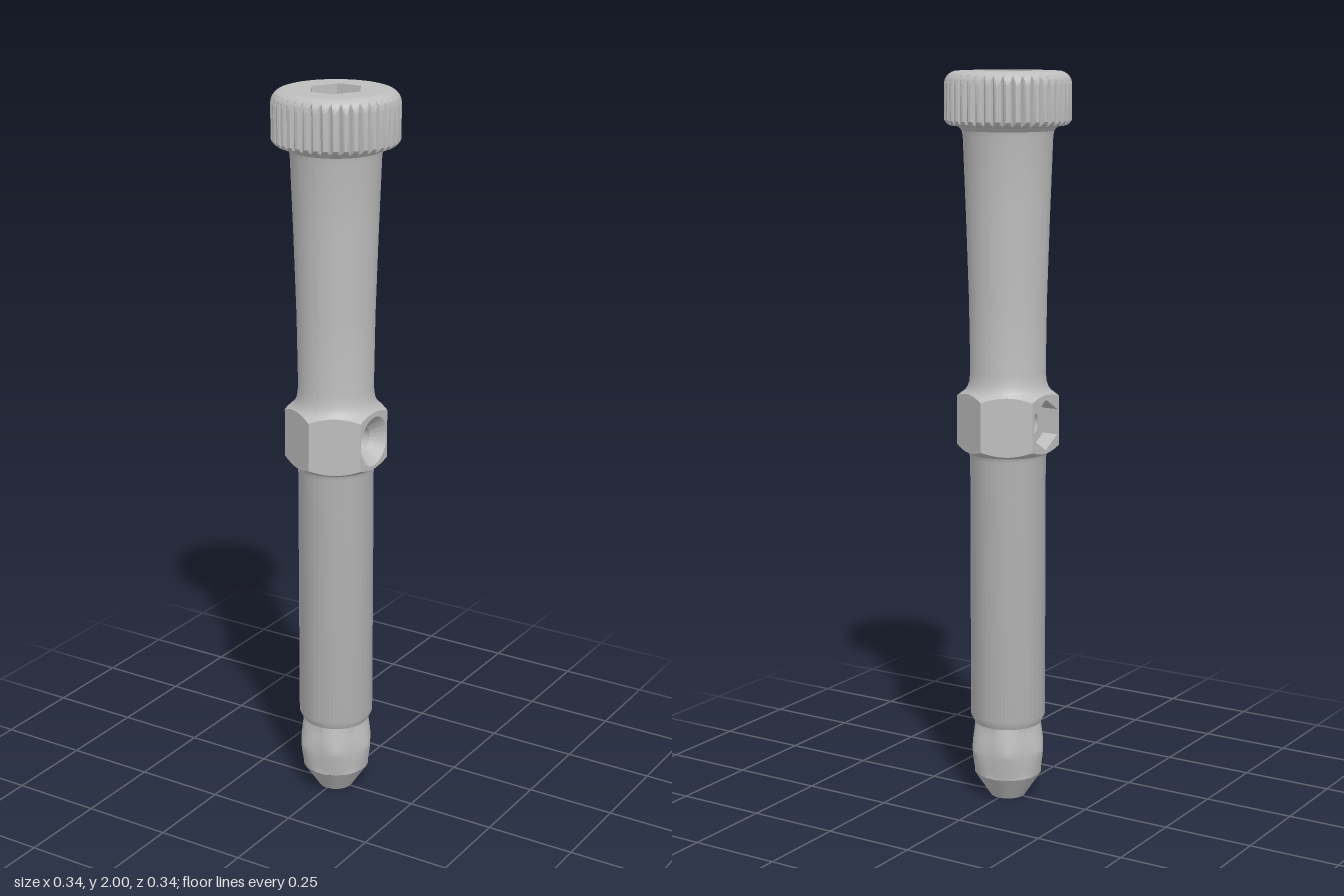
import * as THREE from 'three';
import { toCreasedNormals } from 'three/addons/utils/BufferGeometryUtils.js';

const RAD = Math.PI / 180;
const HOLE_Y = 1.063, BORE = 0.045, DRILL = 0.034, FLAT = 0.12;

// Closed loops of points joined into a skin; a loop running counter-clockwise
// followed by one above it faces outwards.
function loft(rings, crease = 0.45) {
  const n = rings[0].length, pos = [], index = [];
  rings.forEach(r => r.forEach(p => pos.push(...p)));
  for (let i = 0; i < rings.length - 1; i++) {
    for (let j = 0; j < n; j++) {
      const k = (j + 1) % n;
      const a = i * n + j, b = i * n + k, c = a + n, d = b + n;
      index.push(a, b, d, a, d, c);
    }
  }
  const g = new THREE.BufferGeometry();
  g.setAttribute('position', new THREE.Float32BufferAttribute(pos, 3));
  g.setIndex(index);
  return toCreasedNormals(g, crease);
}

// n samples of a full turn
const turn = (n, fn) => Array.from({ length: n }, (_, i) => fn(i / n * Math.PI * 2));

// Horizontal loop; radius and height may depend on the angle
const val = (v, t) => (typeof v === 'function' ? v(t) : v);
const ring = (r, y, n = 120) => turn(n, t =>
  [val(r, t) * Math.cos(t), val(y, t), -val(r, t) * Math.sin(t)]);
const rings = (profile, n) => profile.map(([r, y]) => ring(r, y, n));

// Hexagon radius by angle, with a flat at angle zero
function hexR(t, apothem) {
  const s = 60 * RAD;
  const phi = ((t + s / 2) % s + s) % s - s / 2;
  return apothem / Math.cos(phi);
}

// Loop facing along z, used for the cross drilling
const port = (r, z) => turn(48, t =>
  [val(r, t) * Math.cos(t), HOLE_Y + val(r, t) * Math.sin(t), val(z, t)]);

export function createModel() {
  const group = new THREE.Group();
  const steel = new THREE.MeshStandardMaterial({ color: 0xbebebe });
  steel.name = 'steel grey';
  const add = (name, geometry) => {
    const m = new THREE.Mesh(geometry, steel);
    m.name = name;
    group.add(m);
    return m;
  };

  // Chamfered upper and lower limits of the hexagonal collar
  const collarTop = r => 1.145 - (r - FLAT) * 0.7;
  const collarBottom = r => 0.985 + (r - FLAT) * 0.7;
  const collarR = t => hexR(t, FLAT);

  // Conical tip and the six pointed bumps round it
  add('tip', loft(rings([[BORE, 0], [0.048, 0], [0.093, 0.068]])));
  const bumps = [];
  for (let i = 0; i <= 24; i++) {
    const y = 0.068 + i / 24 * 0.147;
    bumps.push(ring(t => {
      const s = 60 * RAD;
      const phi = (t + s / 2) % s - s / 2;
      const d = Math.hypot(phi * 0.1, y - 0.141);
      return 0.0925 + 0.0135 * Math.max(0, 1 - d / 0.074);
    }, y));
  }
  add('tipBumps', loft(bumps));

  // Straight lower shaft up to the collar
  add('lowerShaft', loft(rings([
    [0.0925, 0.215], [0.103, 0.237], [0.103, 0.965], [0.108, 0.978], [0.118, 0.984],
    [collarR, t => collarBottom(collarR(t))],
  ])));

  // Tapered upper shaft from the collar to the head
  add('upperShaft', loft(rings([
    [collarR, t => collarTop(collarR(t))], [0.118, 1.147], [0.111, 1.156],
    [0.105, 1.172], [0.102, 1.2], [0.105, 1.4], [0.112, 1.62], [0.12, 1.83],
    [0.123, 1.845], [0.132, 1.856],
  ])));

  // Collar flats; one has a round opening and the opposite one a hexagonal opening
  for (let k = 0; k < 6; k++) {
    const top = [], bottom = [];
    for (let i = -10; i <= 10; i++) {
      const phi = i * 3 * RAD, x = FLAT * Math.tan(phi), r = FLAT / Math.cos(phi);
      bottom.push(new THREE.Vector2(x, collarBottom(r)));
      top.unshift(new THREE.Vector2(x, collarTop(r)));
    }
    const face = new THREE.Shape([...bottom, ...top]);
    if (k % 3 === 0) {
      const r = k === 0 ? 0.068 : t => hexR(t, 0.0598);
      face.holes.push(new THREE.Path(port(r, 0).map(p => new THREE.Vector2(p[0], p[1]))));
    }
    const g = new THREE.ShapeGeometry(face);
    g.translate(0, 0, FLAT);
    add('collarFlat', g).rotation.y = (90 + 60 * k) * RAD;
  }

  // Cross drilling: countersink on the left, hexagonal pocket on the right
  const atBore = t => Math.sqrt(BORE ** 2 - (DRILL * Math.cos(t)) ** 2);
  const pocketHex = t => hexR(t, 0.0598);
  add('countersink', loft([port(0.068, FLAT), port(DRILL, 0.085), port(DRILL, atBore)]))
    .rotation.y = 90 * RAD;
  add('nutPocket', loft([
    port(pocketHex, FLAT), port(pocketHex, 0.075), port(DRILL, 0.075), port(DRILL, atBore),
  ])).rotation.y = -90 * RAD;

  // Bore wall around the drilling, as two half cylinders with a hole in each
  const panel = [];
  for (let i = 0; i <= 6; i++) {
    const f = i / 6;
    panel.push(turn(48, t => {
      const c = Math.cos(t), s = Math.sin(t), m = Math.max(Math.abs(c), Math.abs(s));
      const phi = THREE.MathUtils.lerp(Math.asin(DRILL * c / BORE), c / m * Math.PI / 2, f);
      const y = THREE.MathUtils.lerp(DRILL * s, 0.085 * s / m, f);
      return [BORE * Math.sin(phi), HOLE_Y + y, BORE * Math.cos(phi)];
    }));
  }
  for (const side of [1, -1]) add('boreCrossing', loft(panel, 0.8)).rotation.y = side * 90 * RAD;
  add('upperBore', loft(rings([[BORE, 1.85], [BORE, HOLE_Y + 0.085]])));
  add('lowerBore', loft(rings([[BORE, HOLE_Y - 0.085], [BORE, 0]])));

  // Knurled head: forty V grooves that fade out into the rounded top edge
  const N = 240;
  const tooth = [0.159, 0.166, 0.169, 0.169, 0.169, 0.166];
  const knurl = limit => t => Math.min(limit, tooth[Math.round(t / (2 * Math.PI) * N) % 6]);
  const head = [[0.132, 1.856], [0.157, 1.859], [knurl(0.163), 1.864], [knurl(0.169), 1.872]];
  for (let i = 0; i <= 8; i++) {
    const a = i / 8 * 90 * RAD;
    head.push([knurl(0.134 + 0.035 * Math.cos(a)), 1.965 + 0.035 * Math.sin(a)]);
  }
  add('knurledHead', loft(rings(head, N), 0.4));

  // Hexagonal socket with a shallow slot on two of its sides
  const half = [[0.073, 0], [0.0365, 0.0632], [0.033, 0.0632], [0.033, 0.07],
    [-0.033, 0.07], [-0.033, 0.0632], [-0.0365, 0.0632]];
  const socket = [...half, ...half.map(([x, y]) => [-x, -y])];
  const topFace = new THREE.Shape(turn(N, t =>
    new THREE.Vector2(0.134 * Math.cos(t), 0.134 * Math.sin(t))));
  topFace.holes.push(new THREE.Path(socket.map(p => new THREE.Vector2(...p))));
  const topGeo = new THREE.ShapeGeometry(topFace);
  topGeo.rotateX(-90 * RAD);
  topGeo.translate(0, 2, 0);
  add('headTop', topGeo);

  const floorY = 1.88;
  add('socketWalls', loft([2, floorY].map(y => socket.map(([x, q]) => [x, y, -q])), 0.2));
  add('socketFloor', loft([
    ring(t => hexR(t + 30 * RAD, 0.0632), floorY), ring(BORE, 1.85),
  ]));
  for (const side of [1, -1]) {
    const g = new THREE.PlaneGeometry(0.066, 0.0068);
    g.rotateX(-90 * RAD);
    add('socketSlotFloor', g).position.set(0, floorY, side * 0.0666);
  }

  return group;
}
